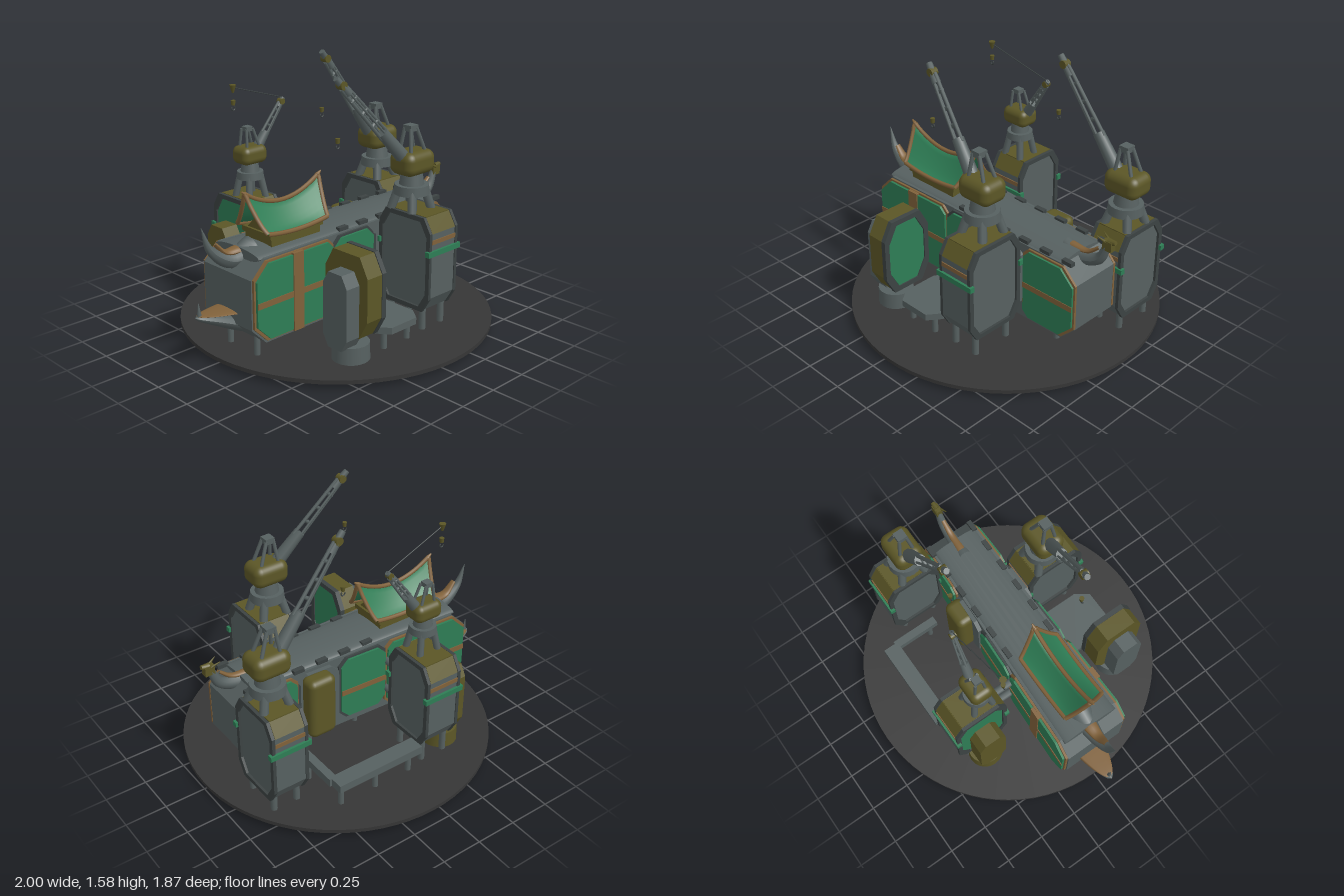
import * as THREE from 'three';
import { RoundedBoxGeometry } from 'three/addons/geometries/RoundedBoxGeometry.js';

const mat = (name, color, side = THREE.FrontSide) => {
  const m = new THREE.MeshStandardMaterial({ color, side });
  m.name = name;
  return m;
};
const M = {
  steel: mat('steel grey', 0x566060, THREE.DoubleSide),
  dark: mat('dark steel', 0x3c4343),
  green: mat('panel green', 0x2e7d55, THREE.DoubleSide),
  olive: mat('olive', 0x5b5626),
  bronze: mat('bronze', 0x80613a),
  deck: mat('deck charcoal', 0x363636),
};
const V = (x, y, z) => new THREE.Vector3(x, y, z);

function add(parent, name, geo, material, x = 0, y = 0, z = 0) {
  const m = new THREE.Mesh(geo, material);
  m.name = name;
  m.position.set(x, y, z);
  parent.add(m);
  return m;
}
const box = (p, n, m, w, h, d, x, y, z) => add(p, n, new THREE.BoxGeometry(w, h, d), m, x, y, z);
const cyl = (p, n, m, r0, r1, h, x, y, z, s = 20) => add(p, n, new THREE.CylinderGeometry(r0, r1, h, s), m, x, y, z);

// round bar between two points
function bar(p, name, m, a, b, r0, r1 = r0, sides = 8) {
  const d = b.clone().sub(a);
  const mesh = cyl(p, name, m, r1, r0, d.length(), 0, 0, 0, sides);
  mesh.position.copy(a).addScaledVector(d, 0.5);
  mesh.quaternion.setFromUnitVectors(V(0, 1, 0), d.normalize());
  return mesh;
}

// rectangle with cut corners; left and right cuts can differ
function cutRect(x0, x1, y0, y1, cl, cr = cl, cy = 0) {
  const l = cy || cl, r = cy || cr;
  return [[x0 + cl, y0], [x1 - cr, y0], [x1, y0 + r], [x1, y1 - r], [x1 - cr, y1], [x0 + cl, y1], [x0, y1 - l], [x0, y0 + l]]
    .map(([x, y]) => new THREE.Vector2(x, y));
}
function plate(points, depth, hole) {
  const s = new THREE.Shape(points);
  if (hole) s.holes.push(new THREE.Path(hole));
  return new THREE.ExtrudeGeometry(s, { depth, bevelEnabled: false });
}
// the same, standing in the yz plane and extruded along x, centred
const sidePlate = (points, w, hole) => plate(points, w, hole).translate(0, 0, -w / 2).rotateY(Math.PI / 2);

// curved horn whose radius follows a rule
function horn(p, name, m, points, radius, sy, sz) {
  const curve = new THREE.CatmullRomCurve3(points), n = 20, g = new THREE.TubeGeometry(curve, n, 1, 12);
  const pos = g.attributes.position, v = V(0, 0, 0);
  for (let i = 0; i < pos.count; i++) {
    const t = Math.floor(i / 13) / n, c = curve.getPointAt(t), r = radius(t);
    v.fromBufferAttribute(pos, i).sub(c);
    pos.setXYZ(i, c.x + v.x * r * sy, c.y + v.y * r * sy, c.z + v.z * r * sz);
  }
  g.computeVertexNormals();
  return add(p, name, g, m);
}

// the hull narrows toward +x
function taper(g) {
  const pos = g.attributes.position;
  for (let i = 0; i < pos.count; i++) {
    const x = pos.getX(i) + 0.8;
    pos.setZ(i, 0.03 + 0.016 * x + pos.getZ(i) * (1 - 0.135 * x));
  }
  g.computeVertexNormals();
  return g;
}

function buildHull(root) {
  const hull = new THREE.Group();
  hull.name = 'hull';
  root.add(hull);
  add(hull, 'hullBody', taper(plate(cutRect(-0.79, 0.8, 0.15, 0.64, 0.1), 0.4).translate(0, 0, -0.2)), M.steel);
  const arch = new THREE.CylinderGeometry(0.185, 0.185, 1.42, 24).rotateZ(Math.PI / 2).scale(1, 0.17, 1);
  add(hull, 'roofArch', taper(arch.translate(-0.01, 0.635, 0)), M.steel);
  add(hull, 'keel', taper(new THREE.CylinderGeometry(0.17, 0.17, 1.2, 24).rotateZ(Math.PI / 2).scale(1, 0.17, 1).translate(0, 0.155, 0)), M.steel);
  const panels = [[-0.77, -0.2, 0.09, 0.04], [-0.18, 0.13, 0.05, 0.05], [0.15, 0.41, 0.05, 0.05], [0.43, 0.79, 0.04, 0.09]];
  for (const s of [1, -1]) {
    const put = (g, z, d) => taper(g.translate(0, 0, s > 0 ? z : -z - d));
    panels.forEach(([a, b, l, r], i) => {
      const y0 = i === 1 || i === 2 ? 0.21 : 0.18;
      add(hull, 'sidePanel', put(plate(cutRect(a, b, y0, 0.62, l, r), 0.035), 0.195, 0.035), i === 2 ? M.steel : M.green);
      if (i === 2) return;
      const f = plate(cutRect(a - 0.012, b + 0.012, y0 - 0.012, 0.632, l, r), 0.018, cutRect(a, b, y0, 0.62, l, r).reverse());
      add(hull, 'panelFrame', put(f, 0.197, 0.018), i === 1 ? M.dark : M.bronze);
      add(hull, 'panelStripe', put(plate(cutRect(a, b, 0.375, 0.41, 0.001), 0.004), 0.23, 0.004), M.bronze);
    });
    add(hull, 'hullStripe', put(plate(cutRect(-0.51, -0.435, 0.17, 0.63, 0.001), 0.04), 0.196, 0.04), M.bronze);
    for (let x = -0.08; x < 0.75; x += 0.16)
      box(hull, 'roofVent', M.dark, 0.07, 0.025, 0.03, x, 0.65, 0.045 + s * 0.15);
  }
  // tail horn, lower beak and prow with head
  horn(hull, 'tailHorn', M.steel, [V(-0.62, 0.63, 0.035), V(-0.76, 0.6, 0.03), V(-0.89, 0.68, 0.025), V(-0.945, 0.82, 0.02)], t => 0.085 * (1 - t) + 0.002, 0.85, 0.85);
  horn(hull, 'tailHornTrim', M.bronze, [V(-0.72, 0.645, 0.03), V(-0.8, 0.65, 0.03), V(-0.87, 0.72, 0.03)], t => 0.03 * (1 - t * 0.6), 0.8, 1.4);
  horn(hull, 'lowerBeak', M.steel, [V(-0.6, 0.18, 0.03), V(-0.75, 0.23, 0.02), V(-0.88, 0.28, 0.015), V(-1.0, 0.32, 0.01)], t => 0.07 * Math.sqrt(Math.max(0, 1 - t)), 0.85, 1.5);
  horn(hull, 'beakTrim', M.bronze, [V(-0.78, 0.312, 0.02), V(-0.88, 0.318, 0.015), V(-0.985, 0.325, 0.01)], t => 0.07 * Math.sqrt(Math.max(0, 1 - t)), 0.18, 1.35);
  bar(hull, 'beakSpike', M.steel, V(-0.97, 0.31, 0.01), V(-0.975, 0.4, 0.01), 0.015, 0.002);
  horn(hull, 'prow', M.steel, [V(0.58, 0.63, 0.05), V(0.72, 0.62, 0.055), V(0.82, 0.66, 0.055), V(0.87, 0.76, 0.055)], t => 0.06 - 0.035 * t, 0.9, 0.8);
  horn(hull, 'prowTrim', M.bronze, [V(0.62, 0.66, 0.05), V(0.74, 0.67, 0.055), V(0.82, 0.73, 0.055)], t => 0.022 * (1 - t * 0.5), 0.8, 1.2);
  box(hull, 'prowHead', M.olive, 0.06, 0.06, 0.04, 0.88, 0.77, 0.055);
  bar(hull, 'prowSnout', M.olive, V(0.88, 0.79, 0.055), V(0.925, 0.8, 0.055), 0.022, 0.013);
  for (const s of [1, -1]) bar(hull, 'prowHorn', M.olive, V(0.87, 0.79, 0.055 + s * 0.015), V(0.82, 0.815, 0.055 + s * 0.03), 0.009, 0.002);
  // pod on the rear wall
  add(hull, 'rearPod', new RoundedBoxGeometry(0.18, 0.4, 0.12, 3, 0.04), M.olive, 0.31, 0.42, -0.18);
}

function buildPagoda(root) {
  const g = new THREE.Group();
  g.name = 'pagoda';
  g.position.set(-0.4, 0, 0.05);
  root.add(g);
  box(g, 'pagodaBase', M.olive, 0.36, 0.05, 0.22, 0, 0.67, 0);
  box(g, 'pagodaWall', M.olive, 0.39, 0.03, 0.24, 0, 0.715, 0);
  add(g, 'gableCore', sidePlate([[-0.09, 0.73], [0.09, 0.73], [0, 0.82]].map(a => new THREE.Vector2(...a)), 0.36), M.olive);
  // concave roof that sweeps up at both ends
  const at = (u, v) => {
    const k = 1 - Math.abs(v);
    return V(u * (0.22 + 0.05 * k), 0.725 + 0.14 * Math.pow(k, 1.5) + u * u * (0.02 + 0.07 * k), v * 0.13);
  };
  const roof = new THREE.PlaneGeometry(2, 2, 12, 12).rotateX(-Math.PI / 2), pos = roof.attributes.position;
  for (let i = 0; i < pos.count; i++) pos.setXYZ(i, ...at(pos.getX(i), pos.getZ(i)).toArray());
  roof.computeVertexNormals();
  add(g, 'roof', roof, M.green);
  const trim = (name, f) => {
    const pts = Array.from({ length: 13 }, (_, i) => f(i / 6 - 1));
    add(g, name, new THREE.TubeGeometry(new THREE.CatmullRomCurve3(pts), 24, 0.013, 6), M.bronze);
  };
  for (const s of [1, -1]) {
    trim('eaveTrim', t => at(t, s));
    trim('gableTrim', t => at(s, t));
    bar(g, 'ridgeTip', M.bronze, at(s * 0.97, 0), V(s * 0.29, 0.97, 0), 0.014, 0.004);
  }
  trim('ridge', t => at(t, 0));
}

// crane tower with its pedestal; returns nothing, built around its own centre
function buildTower(root, name, cx, cz, w, d, y0, y1, greenSide) {
  const g = new THREE.Group();
  g.name = name;
  g.position.set(cx, 0, cz);
  root.add(g);
  const h = d / 2, o = (e, c = 0.05) => cutRect(-h + e, h - e, y0 + e, y1 - e, c, c, c * 1.7);
  add(g, 'towerBody', sidePlate(o(0), w - 0.03), M.steel);
  for (const s of [1, -1]) {
    add(g, 'towerFrame', sidePlate(o(-0.005), 0.02, o(0.022).reverse()), M.dark, s * (w / 2 - 0.01));
    box(g, 'towerBand', M.green, w + 0.03, 0.032, 0.03, 0, y1 - 0.2, s * h);
    box(g, 'towerStripe', M.bronze, w - 0.04, 0.025, 0.008, 0, y1 - 0.135, s * (h + 0.002));
    // olive plates over the sloped shoulders
    const slope = box(g, 'shoulderPlate', M.olive, w - 0.045, 0.1, 0.008, 0, y1 - 0.042, s * (h - 0.024));
    slope.rotation.x = -s * Math.atan2(0.05, 0.085);
    for (const t of [1, -1]) cyl(g, 'towerLeg', M.steel, 0.02, 0.02, y0 + 0.03, s * (w / 2 - 0.04), (y0 + 0.03) / 2, t * (h - 0.07), 10);
  }
  box(g, 'topPlate', M.olive, w - 0.045, 0.008, d - 0.1, 0, y1 + 0.002, 0);
  if (greenSide) add(g, 'greenFace', sidePlate(o(0.025), 0.012), M.green, greenSide * (w / 2 - 0.014));
}

function buildCrane(root, name, base, yTop, k, tip, hook) {
  const g = new THREE.Group();
  g.name = name;
  root.add(g);
  const { x, y, z } = base; // y is the centre of the cab
  // pedestal: splayed legs, slewing ring and neck
  const ringY = y - 0.16 * k;
  for (const a of [1, 3, 5, 7]) {
    const c = Math.cos(a * Math.PI / 4), s = Math.sin(a * Math.PI / 4);
    bar(g, 'pedestalLeg', M.steel, V(x + c * 0.115 * k, yTop, z + s * 0.115 * k), V(x + c * 0.075 * k, ringY, z + s * 0.075 * k), 0.026 * k);
  }
  cyl(g, 'slewRing', M.steel, 0.1 * k, 0.105 * k, 0.055 * k, x, ringY, z);
  cyl(g, 'neck', M.steel, 0.06 * k, 0.075 * k, 0.09 * k, x, y - 0.1 * k, z);
  add(g, 'cab', new RoundedBoxGeometry(0.23 * k, 0.14 * k, 0.18 * k, 4, 0.05 * k), M.olive, x, y, z);
  // mast frame on the cab
  const head = V(x - 0.02 * k, y + 0.2 * k, z);
  for (const sx of [-0.06, 0.06]) for (const sz of [-0.045, 0.045])
    bar(g, 'mastLeg', M.steel, V(x + sx * k, y + 0.05 * k, z + sz * k), head.clone().add(V(sx * 0.4, 0, sz * 0.5)), 0.011 * k);
  box(g, 'mastHead', M.steel, 0.06 * k, 0.035 * k, 0.06 * k, head.x, head.y, head.z);
  // boom: solid foot, twin-rail lattice, solid end
  const side = Math.sign(tip.x - x), foot = V(x + side * 0.07 * k, y + 0.03 * k, z);
  const p = t => foot.clone().lerp(tip, t);
  const across = tip.clone().sub(foot).cross(V(0, 0, 1)).normalize();
  bar(g, 'boomFoot', M.steel, p(0), p(0.34), 0.042 * k, 0.034 * k, 10);
  for (const s of [1, -1]) {
    const off = (t, r) => p(t).addScaledVector(across, s * r * k);
    bar(g, 'boomRail', M.steel, off(0.3, 0.028), off(0.9, 0.018), 0.011 * k);
    for (const z2 of [1, -1]) bar(g, 'boomSideRail', M.steel, p(0.3).add(V(0, 0, z2 * 0.024 * k)), p(0.9).add(V(0, 0, z2 * 0.014 * k)), 0.007 * k);
  }
  for (const t of [0.45, 0.6, 0.75]) bar(g, 'boomTie', M.steel, p(t).addScaledVector(across, 0.026 * k), p(t).addScaledVector(across, -0.026 * k), 0.012 * k);
  bar(g, 'boomEnd', M.steel, p(0.82), p(1), 0.026 * k, 0.018 * k);
  const pulley = cyl(g, 'pulley', M.olive, 0.024 * k, 0.024 * k, 0.045 * k, ...p(0.92).toArray(), 12);
  pulley.rotation.x = Math.PI / 2;
  // hanging hook
  cyl(g, 'hookBlock', M.olive, 0.014, 0.011, 0.028, hook.x, hook.y + 0.012, hook.z, 10);
  add(g, 'hook', new THREE.TorusGeometry(0.012, 0.004, 6, 12, Math.PI * 1.5), M.dark, hook.x, hook.y - 0.02, hook.z).rotation.z = Math.PI * 0.8;
}

// upright drum standing on a round foot
function buildDrum(root, name, m, x, z, footX, footMat) {
  const g = new THREE.Group();
  g.name = name;
  root.add(g);
  add(g, 'drumBody', sidePlate(cutRect(-0.09, 0.09, 0.14, 0.58, 0.04, 0.04, 0.07), 0.11), m, x, 0, z);
  cyl(g, 'drumFoot', footMat, 0.105, 0.11, 0.135, footX, 0.083, z);
}

function buildFrontPod(root) {
  buildDrum(root, 'frontDrum', M.steel, -0.41, 0.53, -0.34, M.steel);
  const o = e => cutRect(-0.16 + e, 0.16 - e, 0.2 + e, 0.67 - e, 0.06, 0.06, 0.11);
  add(root, 'frontPod', sidePlate(o(0), 0.12), M.olive, -0.31, 0, 0.52);
  add(root, 'frontPodFace', sidePlate(o(0.03), 0.03), M.green, -0.25, 0, 0.52);
  add(root, 'frontPodRim', sidePlate(o(-0.004), 0.03, o(0.028).reverse()), M.dark, -0.245, 0, 0.52);
}

function buildWalkways(root) {
  const legs = (list) => list.forEach(([x, z]) => cyl(root, 'walkwayLeg', M.steel, 0.018, 0.018, 0.18, x, 0.09, z, 10));
  const dock = plate(cutRect(-0.2, 0.12, -0.65, -0.27, 0.06, 0.06, 0.08), 0.04).rotateX(-Math.PI / 2);
  add(root, 'frontDock', dock, M.steel, 0, 0.16, 0);
  legs([[-0.13, 0.58], [0.06, 0.58], [-0.13, 0.33], [0.06, 0.33]]);
  box(root, 'rearWalkway', M.steel, 0.58, 0.05, 0.1, 0.21, 0.2, -0.6);
  box(root, 'rearWalkwayLink', M.steel, 0.05, 0.05, 0.3, 0.49, 0.2, -0.42);
  legs([[-0.02, -0.6], [0.22, -0.6], [0.46, -0.6], [0.49, -0.32]]);
  legs([[-0.69, 0.15], [-0.69, -0.08], [-0.14, 0.15], [-0.04, -0.05], [0.1, 0.15], [0.3, -0.05], [0.6, 0.13], [0.6, -0.03]]);
  // braces from towers to the hull
  for (const [x, z0, z1] of [[0.3, 0.18, 0.3], [-0.2, -0.34, -0.14], [0.7, -0.2, -0.06]])
    for (const y of [0.3, 0.5]) bar(root, 'hullBrace', M.steel, V(x, y, z0), V(x, y, z1), 0.025);
}

export function createModel() {
  const root = new THREE.Group();
  root.name = 'harbourStation';
  cyl(root, 'deck', M.deck, 0.937, 0.937, 0.024, 0.063, 0.04, 0, 72);
  buildHull(root);
  buildPagoda(root);
  buildTower(root, 'frontTower', 0.295, 0.44, 0.24, 0.38, 0.18, 0.74, 0);
  buildTower(root, 'rearTower', -0.225, -0.47, 0.24, 0.34, 0.19, 0.73, -1);
  buildTower(root, 'sternTower', 0.715, -0.31, 0.23, 0.36, 0.15, 0.69, 0);
  buildCrane(root, 'frontCrane', V(0.275, 1.02, 0.4), 0.74, 1, V(-0.235, 1.555, 0.3), V(-0.22, 1.2, 0.3));
  buildCrane(root, 'rearCrane', V(-0.235, 0.995, -0.425), 0.73, 0.78, V(0.01, 1.3, -0.4), V(-0.405, 1.33, -0.355));
  buildCrane(root, 'sternCrane', V(0.715, 0.955, -0.29), 0.69, 1, V(0.21, 1.565, -0.275), V(0.21, 1.2, -0.275));
  bar(root, 'longCable', M.dark, V(0.01, 1.3, -0.4), V(-0.405, 1.43, -0.355), 0.003);
  bar(root, 'cableFloat', M.olive, V(-0.405, 1.4, -0.355), V(-0.405, 1.445, -0.355), 0.006, 0.02, 10);
  buildFrontPod(root);
  buildDrum(root, 'rearDrum', M.olive, -0.405, -0.475, -0.36, M.olive);
  buildWalkways(root);
  return root;
}
